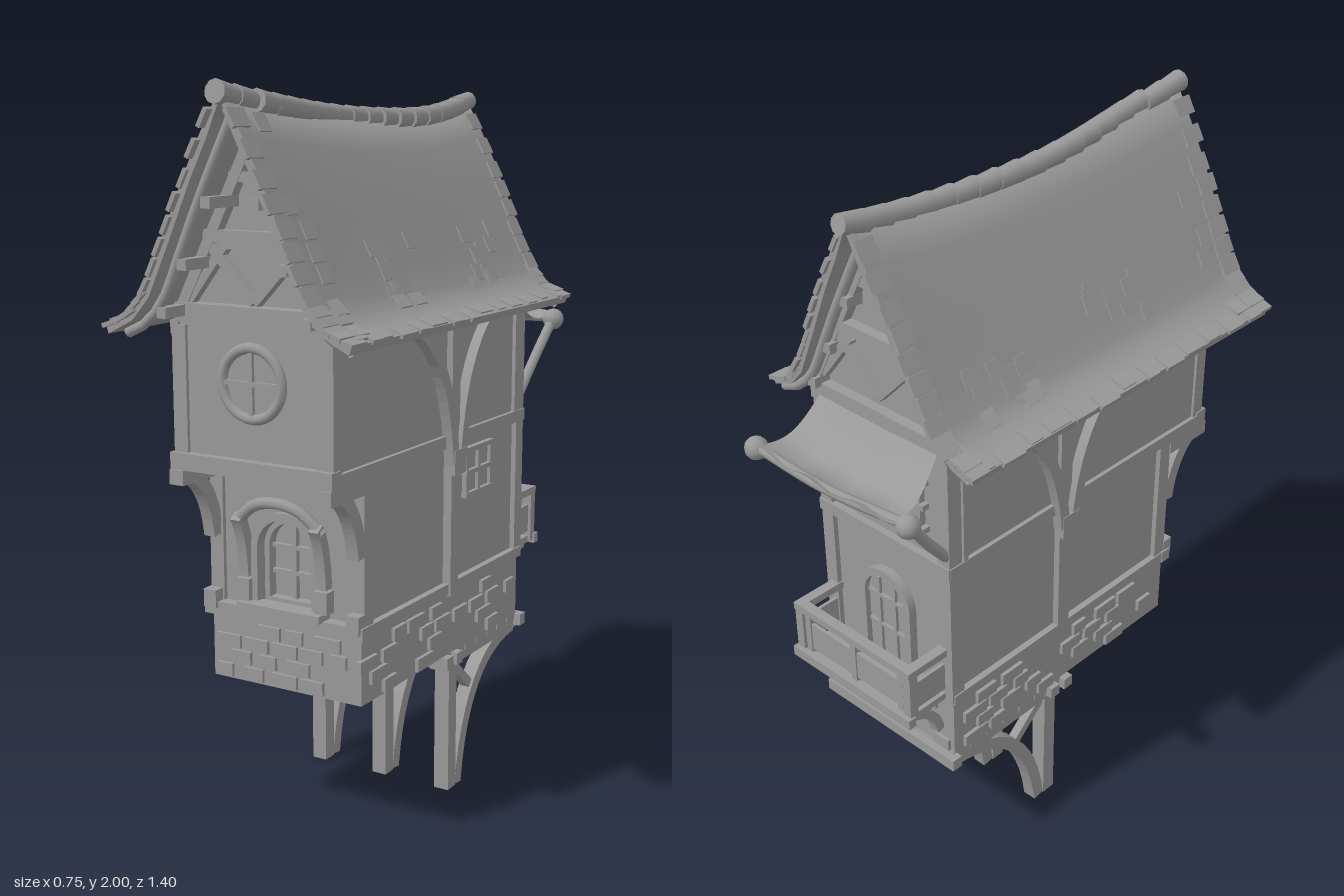
import * as THREE from 'three';

const grey = new THREE.MeshStandardMaterial({ color: 0x999999, side: THREE.DoubleSide });
grey.name = 'stone grey';

let seed = 7;
const rand = (a = 0, b = 1) => {
  seed = (seed * 16807) % 2147483647;
  return a + (b - a) * seed / 2147483647;
};

// Roof surface: u runs from the left eave (-1) over the ridge (0) to the right eave (1)
const PROFILE = [[0, 1.905], [0.1, 1.725], [0.17, 1.585], [0.235, 1.46], [0.285, 1.415], [0.36, 1.39]];
function roofPoint(u, z, out = 0) {
  const at = (a) => {
    const t = Math.min(a, 1) * 5, i = Math.min(4, Math.floor(t)), f = t - i;
    return [0, 1].map((k) => PROFILE[i][k] * (1 - f) + PROFILE[i + 1][k] * f);
  };
  const a = Math.abs(u), p = at(a), q0 = at(Math.max(0, a - 0.05)), q1 = at(a + 0.05);
  const dx = q1[0] - q0[0], dy = q1[1] - q0[1], len = Math.hypot(dx, dy), s = Math.sign(u);
  const sag = (z > -0.15 ? 0.09 : 0.3) * (z + 0.15) ** 2 * (1 - a);
  const n = a < 0.001 ? [0, 1] : [-dy / len * s, dx / len];
  return { p: new THREE.Vector3(p[0] * s + n[0] * out, p[1] + sag + n[1] * out, z), tilt: Math.atan2(dy * s, dx) };
}

export function createModel() {
  const root = new THREE.Group();
  root.name = 'timberHouse';

  const add = (name, geo, x = 0, y = 0, z = 0) => {
    const m = new THREE.Mesh(geo, grey);
    m.name = name;
    m.position.set(x, y, z);
    root.add(m);
    return m;
  };
  // Box given by its limits on each axis
  const block = (name, x0, x1, y0, y1, z0, z1) =>
    add(name, new THREE.BoxGeometry(x1 - x0, y1 - y0, z1 - z0), (x0 + x1) / 2, (y0 + y1) / 2, (z0 + z1) / 2);
  // Straight timber between two points
  const beam = (name, a, b, w = 0.03, h = w) => {
    const A = new THREE.Vector3(...a), B = new THREE.Vector3(...b);
    const m = add(name, new THREE.BoxGeometry(w, h, A.distanceTo(B)), ...A.clone().lerp(B, 0.5).toArray());
    m.lookAt(B);
    return m;
  };
  const rod = (name, points, r) =>
    add(name, new THREE.TubeGeometry(new THREE.CatmullRomCurve3(points.map((p) => new THREE.Vector3(...p))), 12, r, 8));
  // Curved timber in the z-y plane: start, control and end points, centred on x
  const brace = (name, x, a, c, b, w, depth) => {
    const curve = new THREE.QuadraticBezierCurve(...[a, c, b].map((p) => new THREE.Vector2(...p)));
    const side = (s) => Array.from({ length: 13 }, (_, i) => {
      const t = curve.getTangent(i / 12);
      return curve.getPoint(i / 12).add(new THREE.Vector2(-t.y, t.x).multiplyScalar(s * w / 2));
    });
    const shape = new THREE.Shape([...side(1), ...side(-1).reverse()]);
    const m = add(name, new THREE.ExtrudeGeometry(shape, { depth, bevelEnabled: false }), x + depth / 2);
    m.rotation.y = -Math.PI / 2;
  };
  // Round-headed outline
  const arch = (Type, hw, y0, spring) => {
    const s = new Type();
    s.moveTo(-hw, y0).lineTo(hw, y0).lineTo(hw, spring);
    s.absarc(0, spring, hw, 0, Math.PI, false);
    s.lineTo(-hw, y0);
    return s;
  };
  const extrude = (name, shape, depth, z) =>
    add(name, new THREE.ExtrudeGeometry(shape, { depth, bevelEnabled: false, curveSegments: 16 }), 0, 0, z);
  const archFrame = (name, hw, y0, spring, w, depth, z) => {
    const s = arch(THREE.Shape, hw + w, y0, spring);
    s.holes.push(arch(THREE.Path, hw, y0 + 0.01, spring));
    extrude(name, s, depth, z);
  };

  // Walls
  block('stoneBase', -0.235, 0.235, 0.42, 0.61, -0.465, 0.435);
  block('middleStorey', -0.228, 0.228, 0.6, 1.04, -0.46, 0.36);
  block('upperStorey', -0.235, 0.235, 1.03, 1.42, -0.46, 0.565);
  const front = new THREE.Shape([[-0.228, 0.6], [0.228, 0.6], [0.228, 1.04], [-0.228, 1.04]].map((p) => new THREE.Vector2(...p)));
  front.holes.push(arch(THREE.Path, 0.085, 0.65, 0.8));
  extrude('frontWall', front, 0.06, 0.36);
  const gable = new THREE.Shape([[-0.235, 1.4], [0.235, 1.4], [0.235, 1.44], [0, 1.87], [-0.235, 1.44]].map((p) => new THREE.Vector2(...p)));
  extrude('gableWalls', gable, 0.98, -0.45);

  // Raised stones on the four faces of the base
  for (let row = 0; row < 4; row++) {
    const y = 0.445 + row * 0.042;
    for (const s of [-1, 1]) {
      for (let z = -0.43 + (row % 2) * 0.05; z < 0.4; z += 0.1)
        if (rand() < 0.6) block('stone', s * 0.238 - 0.008, s * 0.238 + 0.008, y - 0.018, y + 0.018, z, z + rand(0.05, 0.09));
      for (let x = -0.22 + (row % 2) * 0.045; x < 0.17; x += 0.09)
        if (rand() < 0.65) {
          const z = s > 0 ? 0.437 : -0.467;
          block('stone', x, x + rand(0.045, 0.08), y - 0.018, y + 0.018, z - 0.008, z + 0.008);
        }
    }
  }

  // Timber frame
  for (const s of [-1, 1]) {
    const [a, b] = s > 0 ? [0.222, 0.247] : [-0.247, -0.222];
    block('sillBeam', a, b, 0.605, 0.635, -0.47, 0.435);
    block('floorBeam', a, b, 1.025, 1.06, -0.475, 0.58);
    block('wallPlate', a, b, 1.375, 1.41, -0.475, 0.575);
    block('sidePost', a, b + (s > 0 ? 0.006 : 0), 0.6, 1.4, -0.055, -0.01);
    const c = [s * 0.232, s * 0.246].sort((p, q) => p - q), corner = [s * 0.2, s * 0.243].sort((p, q) => p - q);
    block('lowerCornerPost', ...corner, 0.61, 1.04, 0.388, 0.432);
    block('upperCornerPost', ...corner, 1.03, 1.4, 0.535, 0.575);
    block('backCornerPost', ...corner, 0.61, 1.4, -0.475, -0.43);
    block('backStud', ...c, 1.06, 1.38, -0.425, -0.41);
    block('postBracket', s * 0.255 - 0.014, s * 0.255 + 0.014, 0.95, 1.02, -0.065, 0);
    for (const d of [-1, 1])
      brace('eaveBrace', s * 0.252, [-0.033 + d * 0.02, 0.98], [-0.033 + d * 0.05, 1.3], [-0.033 + d * 0.25, 1.385], 0.034, 0.03);
    brace('jettyBracket', s * 0.225, [0.44, 0.82], [0.46, 0.98], [0.575, 1.02], 0.04, 0.035);
    block('jettyBlock', s * 0.225 - 0.022, s * 0.225 + 0.022, 0.985, 1.025, 0.43, 0.595);
    block('jettyFoot', s * 0.225 - 0.02, s * 0.225 + 0.02, 0.62, 0.67, 0.43, 0.465);
  }
  block('frontSill', -0.25, 0.25, 0.6, 0.637, 0.42, 0.455);
  block('frontJettyBeam', -0.247, 0.247, 1.025, 1.07, 0.55, 0.59);
  block('frontPlate', -0.235, 0.235, 1.405, 1.455, 0.53, 0.572);
  block('backFloorBeam', -0.245, 0.245, 1.025, 1.06, -0.48, -0.45);
  block('backPlate', -0.245, 0.245, 1.375, 1.43, -0.48, -0.45);

  // Gable trusses at both ends
  for (const z of [0.545, -0.465]) {
    beam('gableCollar', [-0.15, 1.625, z], [0.15, 1.625, z]);
    beam('gableHighCollar', [-0.07, 1.77, z], [0.07, 1.77, z], 0.025);
    for (const s of [-1, 1]) {
      beam('gableStrut', [0, 1.465, z], [s * 0.14, 1.61, z], 0.026);
      beam('gableTie', [s * 0.2, 1.46, z], [s * 0.09, 1.6, z], 0.024);
      beam('gableRafter', [s * 0.23, 1.43, z], [0, 1.87, z], 0.03);
    }
  }

  // Roof sheet bent over the ridge, with slightly skewed ends
  const roof = new THREE.BoxGeometry(2, 1, 1, 20, 1, 24), pos = roof.attributes.position;
  for (let i = 0; i < pos.count; i++) {
    const u = pos.getX(i), t = pos.getZ(i) + 0.5, a = Math.abs(u);
    const z = (-0.545 + a * 0.04) * (1 - t) + (0.68 + a * 0.005) * t;
    pos.setXYZ(i, ...roofPoint(u, z, pos.getY(i) * 0.022).p.toArray());
  }
  roof.computeVertexNormals();
  add('roof', roof);

  // Shingles: clusters on the slopes, ragged ends and eaves
  const shingle = (u, z, length) => {
    const r = roofPoint(u, z, 0.009);
    const m = add('shingle', new THREE.BoxGeometry(0.05, 0.012, length), ...r.p.toArray());
    m.rotation.z = r.tilt;
  };
  for (const s of [-1, 1]) {
    for (let i = 0; i < 13; i++) {
      const u = 0.06 + i * 0.074;
      shingle(s * u, 0.66 + rand(-0.006, 0.008), 0.07);
      shingle(s * u, -0.52 + u * 0.035 + rand(-0.008, 0.006), 0.06);
      if (rand() < 0.55) shingle(s * u, 0.59 + rand(-0.03, 0.02), 0.05);
    }
    for (const centre of [0.2, -0.25])
      for (let i = 0; i < 11; i++) shingle(s * rand(0.38, 0.68), centre + rand(-0.11, 0.11), rand(0.035, 0.06));
    for (let z = -0.46; z < 0.62; z += 0.09) shingle(s * rand(0.91, 0.96), z, rand(0.04, 0.08));
  }

  // Ridge tiles
  for (let i = 0; i < 17; i++) {
    const z = -0.52 + i * 0.0735, r = roofPoint(0, z).p;
    const m = add('ridgeTile', new THREE.CylinderGeometry(0.03, 0.026, 0.085, 10), 0.012 * Math.sin(i * 0.55) * (i < 15 ? 1 : 0), r.y + 0.002, z);
    m.rotation.x = Math.PI / 2 + (r.y - roofPoint(0, z + 0.05).p.y) / 0.05;
  }

  // Bargeboards and purlins under the overhangs
  for (const s of [-1, 1]) {
    for (const z of [0.635, -0.49])
      rod('bargeRafter', [0.03, 0.25, 0.45, 0.6, 0.8, 0.95].map((u) => roofPoint(s * u, z, -0.022).p.toArray()), 0.014);
    for (const u of [0.2, 0.42, 0.62]) {
      const p = roofPoint(s * u, 0, -0.032).p;
      block('purlin', p.x - 0.014, p.x + 0.014, p.y - 0.014, p.y + 0.014, -0.5, 0.65);
    }
  }

  // Round front window
  add('roundWindowFrame', new THREE.TorusGeometry(0.09, 0.014, 8, 32), 0, 1.265, 0.568);
  add('roundWindowPane', new THREE.CircleGeometry(0.09, 32), 0, 1.265, 0.567);
  block('roundWindowBar', -0.006, 0.006, 1.18, 1.35, 0.565, 0.577);
  block('roundWindowBar', -0.085, 0.085, 1.259, 1.271, 0.565, 0.577);

  // Arched front window with hood, side brackets and sill
  archFrame('frontWindowFrame', 0.07, 0.65, 0.8, 0.016, 0.03, 0.375);
  block('frontWindowBar', -0.006, 0.006, 0.65, 0.87, 0.375, 0.39);
  for (const y of [0.73, 0.8]) block('frontWindowBar', -0.07, 0.07, y - 0.005, y + 0.005, 0.375, 0.39);
  archFrame('frontWindowSurround', 0.085, 0.64, 0.8, 0.02, 0.025, 0.415);
  rod('windowHood', [[-0.135, 0.87, 0.46], [-0.07, 0.925, 0.47], [0, 0.94, 0.475], [0.07, 0.925, 0.47], [0.135, 0.87, 0.46]], 0.016);
  block('windowSill', -0.13, 0.13, 0.635, 0.655, 0.42, 0.475);
  for (const s of [-1, 1]) {
    brace('hoodBracket', s * 0.122, [0.435, 0.72], [0.44, 0.84], [0.475, 0.89], 0.03, 0.03);
    block('hoodFoot', s * 0.122 - 0.02, s * 0.122 + 0.02, 0.655, 0.715, 0.42, 0.455);
  }

  // Small window on the left side
  block('sideWindowPane', 0.228, 0.233, 0.87, 1.0, -0.27, -0.12);
  for (const z of [-0.27, -0.195, -0.125]) block('sideWindowBar', 0.228, 0.243, 0.86, 1.0, z - 0.007, z + 0.007);
  for (const y of [0.865, 0.93, 0.995]) block('sideWindowBar', 0.228, 0.245, y - 0.007, y + 0.007, -0.28, -0.115);

  // Back door and upper window
  archFrame('backDoorFrame', 0.075, 0.63, 0.84, 0.022, 0.03, -0.485);
  extrude('backDoor', arch(THREE.Shape, 0.075, 0.63, 0.84), 0.01, -0.468);
  for (const x of [-0.03, 0.03]) block('backDoorBar', x - 0.005, x + 0.005, 0.64, 0.9, -0.477, -0.465);
  for (const y of [0.74, 0.84]) block('backDoorBar', -0.07, 0.07, y - 0.005, y + 0.005, -0.477, -0.465);
  for (let i = 0; i < 5; i++) block('backWindowBar', -0.145 + i * 0.07, -0.135 + i * 0.07, 1.14, 1.35, -0.478, -0.455);
  for (const y of [1.14, 1.21, 1.28, 1.35]) block('backWindowRail', -0.16, 0.16, y - 0.008, y + 0.008, -0.482, -0.455);

  // Balcony
  block('balconyFloor', -0.215, 0.215, 0.615, 0.635, -0.615, -0.46);
  block('balconyEdge', -0.23, 0.23, 0.61, 0.64, -0.625, -0.6);
  block('balconyTopRail', -0.225, 0.225, 0.768, 0.79, -0.615, -0.585);
  block('balconyPanel', -0.21, 0.21, 0.65, 0.735, -0.603, -0.593);
  for (const s of [-1, 1]) {
    block('balconySideRail', s * 0.21 - 0.015, s * 0.21 + 0.015, 0.768, 0.79, -0.6, -0.46);
    block('balconySidePanel', s * 0.21 - 0.005, s * 0.21 + 0.005, 0.65, 0.735, -0.6, -0.46);
    block('balconyPost', s * 0.21 - 0.014, s * 0.21 + 0.014, 0.62, 0.785, -0.612, -0.584);
  }
  for (const x of [-0.18, 0, 0.18]) {
    block('balconyPost', x - 0.01, x + 0.01, 0.63, 0.77, -0.607, -0.587);
    brace('balconyBracket', x, [-0.475, 0.49], [-0.49, 0.59], [-0.6, 0.605], 0.026, 0.03);
  }

  // Cloth awning sagging between its wall fixing and a front pole
  const cloth = new THREE.PlaneGeometry(1, 1, 14, 10), cp = cloth.attributes.position;
  for (let i = 0; i < cp.count; i++) {
    const s = cp.getX(i) * 2, t = 0.5 - cp.getY(i);
    cp.setXYZ(i, s * (0.21 + 0.04 * t) - 0.02 * t, 1.41 - 0.085 * t - 0.07 * Math.sin(t * Math.PI) * (1 - 0.3 * s * s) + 0.006 * Math.sin(s * 9) * t,
      -0.465 - 0.22 * t - 0.012 * t * (1 - s * s));
  }
  cloth.computeVertexNormals();
  add('awning', cloth);
  rod('awningPole', [[-0.3, 1.31, -0.65], [-0.02, 1.305, -0.675], [0.255, 1.31, -0.67]], 0.014);
  for (const [x, z, foot] of [[-0.285, -0.65, -0.225], [0.245, -0.67, 0.225]]) {
    rod('awningStrut', [[foot, 1.09, -0.47], [(foot + x) / 2, 1.2, -0.565], [x, 1.31, z]], 0.015);
    add('awningKnot', new THREE.SphereGeometry(0.032, 10, 8), x, 1.305, z);
  }

  // Platform, posts and curved supports
  for (let i = 0; i < 7; i++) block('platformPlank', -0.235, 0.235, 0.4, 0.424, -0.47 + i * 0.067, -0.408 + i * 0.067);
  for (const z of [-0.475, -0.068, -0.012]) block('platformBeam', -0.255, 0.255, 0.385, 0.42, z - 0.017, z + 0.017);
  for (const x of [-0.21, 0, 0.21]) {
    block('joist', x - 0.022, x + 0.022, 0.375, 0.41, -0.485, -0.01);
    block('supportPost', x - 0.023, x + 0.023, 0, 0.395, -0.09, -0.045);
    brace('supportBrace', x, [-0.108, 0], [-0.16, 0.37], [-0.46, 0.385], 0.038, 0.042);
    beam('supportStrut', [x, 0.375, -0.085], [x, 0.275, -0.2], 0.026);
  }
  return root;
}
